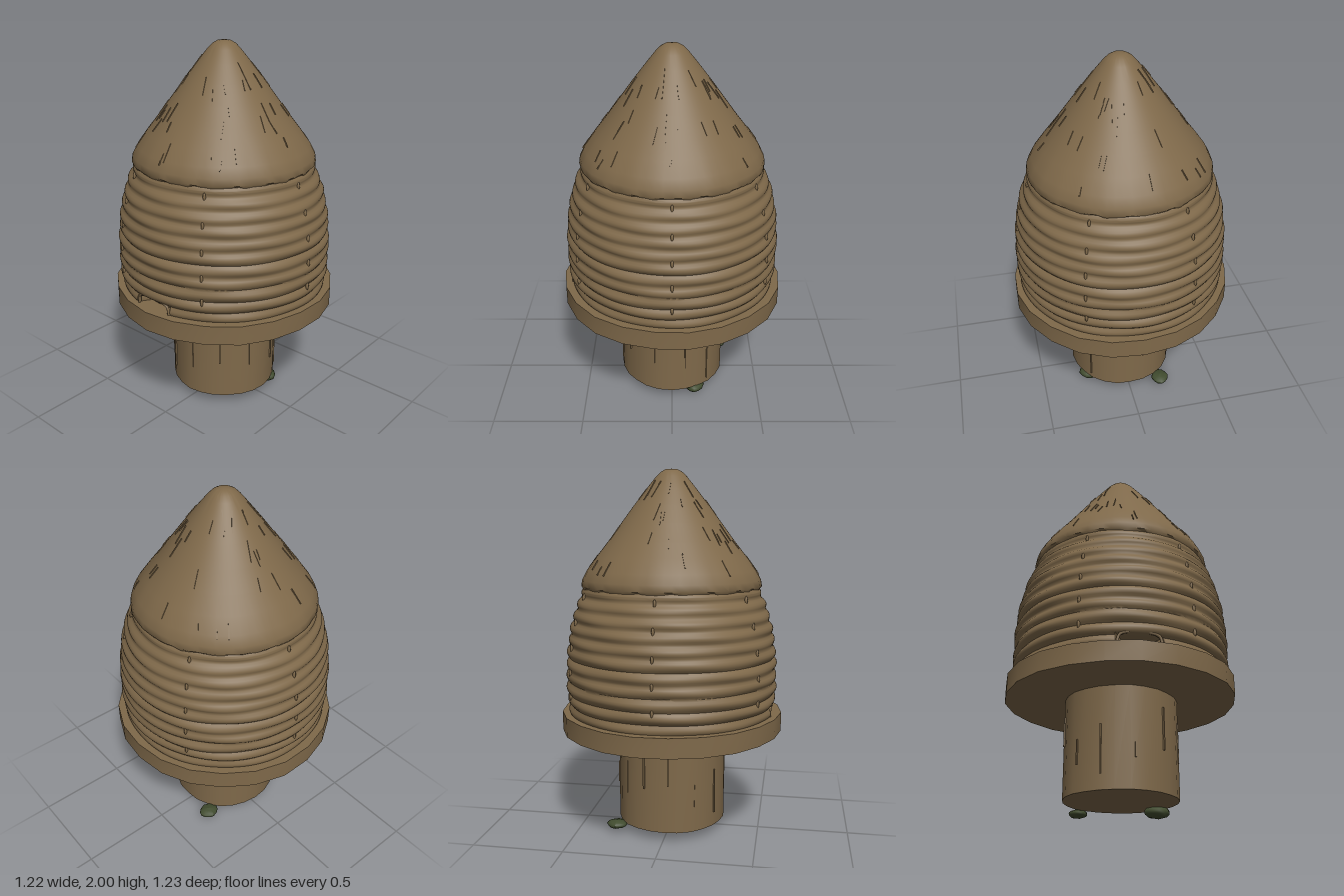
import * as THREE from 'three';
import { toCreasedNormals } from 'three/addons/utils/BufferGeometryUtils.js';

export function createModel() {
  const model = new THREE.Group();
  const straw = new THREE.MeshStandardMaterial({ color: 0x7f694a });
  straw.name = 'straw brown';
  const moss = new THREE.MeshStandardMaterial({ color: 0x414c2f });
  moss.name = 'moss green';

  let seed = 7;
  const rand = () => (seed = (seed * 16807) % 2147483647) / 2147483647;

  function add(name, geometry, material = straw, parent = model) {
    const mesh = new THREE.Mesh(geometry, material);
    mesh.name = name;
    parent.add(mesh);
    return mesh;
  }
  // moves every vertex by a rule
  function deform(geometry, rule) {
    const p = geometry.attributes.position, v = new THREE.Vector3();
    for (let i = 0; i < p.count; i++) {
      rule(v.fromBufferAttribute(p, i));
      p.setXYZ(i, v.x, v.y, v.z);
    }
    return geometry;
  }
  function scaleRadius(v, k) { v.x *= k; v.z *= k; }
  const lathe = (pts, n) => new THREE.LatheGeometry(pts.map(p => new THREE.Vector2(...p)), n);
  const crease = (g, a = 0.6) => toCreasedNormals(g, a);

  // stump with slightly uneven bark
  add('stump', crease(deform(new THREE.CylinderGeometry(0.298, 0.298, 0.53, 24).translate(0, 0.32, 0), v => {
    const a = Math.atan2(v.x, v.z);
    scaleRadius(v, 1 + 0.009 * Math.sin(5 * a + 1) + 0.005 * Math.cos(11 * a));
  })));

  // bark ridges
  const bark = new THREE.Group();
  bark.name = 'bark';
  model.add(bark);
  for (let i = 0; i < 12; i++) {
    const a = i * 0.52 - 0.5 + rand() * 0.3, h = 0.1 + rand() * 0.16;
    const ridge = add('barkRidge', new THREE.BoxGeometry(0.008, h, 0.014), straw, bark);
    ridge.position.set(Math.sin(a) * 0.296, 0.18 + rand() * 0.26, Math.cos(a) * 0.296);
    ridge.rotation.y = a;
  }

  // round base board, cut a little unevenly
  add('baseBoard', crease(deform(new THREE.CylinderGeometry(0.613, 0.613, 0.105, 22).translate(0, 0.628, 0), v => {
    const a = Math.atan2(v.x, v.z);
    scaleRadius(v, 1 + 0.006 * Math.sin(3 * a) + 0.004 * Math.cos(7 * a));
  })));

  // coiled body: bulging profile with one ripple per coil
  const bodyCurve = new THREE.CatmullRomCurve3([
    [0.558, 0.66], [0.573, 0.76], [0.577, 0.88], [0.572, 1.0], [0.557, 1.12], [0.53, 1.23], [0.487, 1.34], [0.465, 1.39],
  ].map(p => new THREE.Vector3(p[0], p[1], 0)));
  const coilPitch = 0.066;
  const bodyPts = [];
  for (let i = 0; i <= 72; i++) {
    const p = bodyCurve.getPoint(i / 72);
    const ripple = Math.abs(Math.sin(Math.PI * (p.y - 0.66) / coilPitch));
    bodyPts.push([p.x - 0.008 + 0.017 * ripple, p.y]);
  }
  add('coiledBody', crease(deform(lathe(bodyPts, 120), v => {
    const a = Math.atan2(v.x, v.z);
    // low arched entrance pressed into the front
    if (Math.abs(a) < 0.185 && v.y < 0.735 - 0.8 * Math.max(0, Math.abs(a) - 0.15)) scaleRadius(v, 0.88);
    else scaleRadius(v, 1 + 0.004 * Math.sin(7 * a + v.y * 40));
  }), 0.9));

  // lip over the entrance
  const lip = new THREE.CatmullRomCurve3([[-0.11, 0.68], [-0.1, 0.725], [-0.07, 0.74], [0.07, 0.74], [0.1, 0.725], [0.11, 0.68]]
    .map(([x, y]) => new THREE.Vector3(x, y, Math.sqrt(0.566 ** 2 - x * x))));
  add('entranceLip', new THREE.TubeGeometry(lip, 24, 0.008, 6));

  // six columns of small stitches between the coils
  const stitches = new THREE.Group();
  stitches.name = 'stitches';
  model.add(stitches);
  for (let k = 0; k < 6; k++) {
    const a = Math.PI / 6 + k * Math.PI / 3;
    for (let j = 1; j < 10; j += 2) {
      const y = 0.66 + (j + 1) * coilPitch;
      const r = bodyCurve.getPoints(60).reduce((b, p) => Math.abs(p.y - y) < Math.abs(b.y - y) ? p : b).x;
      const s = add('stitch', new THREE.SphereGeometry(1, 8, 6), straw, stitches);
      s.scale.set(0.008, 0.024, 0.01);
      s.position.set(Math.sin(a) * r, y, Math.cos(a) * r);
      s.rotation.y = a;
    }
  }

  // thatched cone with a blunt tip and a ragged rim
  const slope = [[0.493, 1.375], [0.488, 1.41], [0.462, 1.46], [0.41, 1.532], [0.345, 1.615], [0.275, 1.71],
    [0.205, 1.805], [0.135, 1.895], [0.085, 1.957]];
  const conePts = [[0.44, 1.37], [0.478, 1.356], ...slope, [0.06, 1.982], [0.035, 1.996], [0, 2]];
  add('thatchCone', crease(deform(lathe(conePts, 72), v => {
    const a = Math.atan2(v.x, v.z), low = Math.max(0, (1.6 - v.y) / 0.25);
    scaleRadius(v, 1 + low * (0.004 * Math.sin(23 * a) + 0.003 * Math.sin(9 * a + 2)));
    if (v.y < 1.37) v.y += 0.006 * Math.sin(17 * a) + 0.004 * Math.sin(31 * a);
  }), 0.9));

  // loose straws half sunk into the thatch
  const straws = new THREE.Group();
  straws.name = 'looseStraws';
  model.add(straws);
  for (let i = 0; i < 60; i++) {
    const k = 2 + Math.floor(rand() * 5), t = rand(), a = rand() * Math.PI * 2;
    const [r0, y0] = slope[k], [r1, y1] = slope[k + 1];
    const r = r0 + (r1 - r0) * t, y = y0 + (y1 - y0) * t;
    const s = add('looseStraw', new THREE.BoxGeometry(0.005, 0.05 + rand() * 0.06, 0.008), straw, straws);
    s.rotation.order = 'YXZ';
    s.position.set(Math.sin(a) * r, y, Math.cos(a) * r);
    s.rotation.set(-Math.atan2(r0 - r1, y1 - y0), a, (rand() - 0.5) * 0.3);
  }

  // moss clumps under the stump edge
  [[0.215, 0.035, -0.13, 0.075, 0.035, 0.06], [-0.185, 0.042, -0.28, 0.055, 0.024, 0.06]].forEach(([x, y, z, sx, sy, sz]) => {
    const g = deform(new THREE.SphereGeometry(1, 12, 8), v =>
      v.multiplyScalar(1 - 0.12 * Math.abs(Math.sin(4 * v.x + 3 * v.z))));
    g.computeVertexNormals();
    const clump = add('mossClump', g, moss);
    clump.position.set(x, y, z);
    clump.scale.set(sx, sy, sz);
  });

  return model;
}
